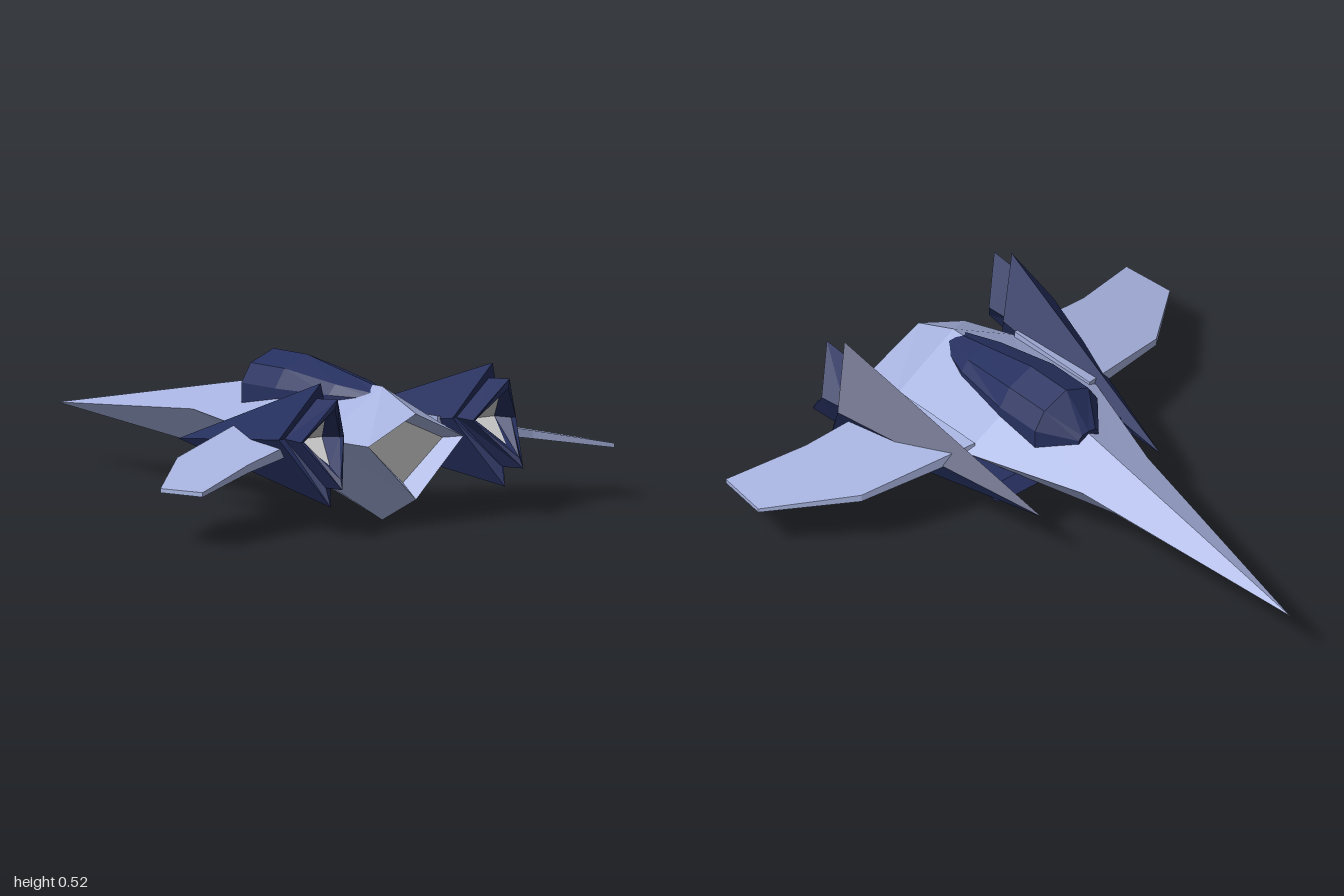
import * as THREE from 'three';

const material = (color) => new THREE.MeshStandardMaterial({ color, flatShading: true });

function fromPoints(points) {
  const geo = new THREE.BufferGeometry();
  geo.setAttribute('position', new THREE.Float32BufferAttribute(points.flat(), 3));
  geo.computeVertexNormals();
  return geo;
}

// Skin over rings of points; each ring runs counter-clockwise seen from +z
function loft(rings, capStart = false, capEnd = false) {
  const tris = [];
  for (let i = 0; i < rings.length - 1; i++) {
    const a = rings[i], b = rings[i + 1], n = a.length;
    for (let j = 0; j < n; j++) {
      const k = (j + 1) % n;
      tris.push(a[j], a[k], b[k], a[j], b[k], b[j]);
    }
  }
  const fan = (r, flip) => {
    for (let j = 1; j < r.length - 1; j++) tris.push(r[0], r[flip ? j + 1 : j], r[flip ? j : j + 1]);
  };
  if (capStart) fan(rings[0], true);
  if (capEnd) fan(rings[rings.length - 1], false);
  return fromPoints(tris);
}

// Four-cornered panel folded along its second and fourth corner
const panel = (r) => fromPoints([r[0], r[1], r[3], r[1], r[2], r[3]]);

// Copy to the other side of x = 0, keeping faces outward
function mirror(geo) {
  const g = geo.index ? geo.toNonIndexed() : geo;
  const p = g.attributes.position, out = [];
  for (let i = 0; i < p.count; i += 3)
    for (const k of [i, i + 2, i + 1]) out.push([-p.getX(k), p.getY(k), p.getZ(k)]);
  return fromPoints(out);
}

export function createModel() {
  const model = new THREE.Group();
  const hullMat = material(0xa6b2de), darkMat = material(0x26305f), greyMat = material(0xcccccc);

  const add = (name, geo, mat) => {
    const mesh = new THREE.Mesh(geo, mat);
    mesh.name = name;
    model.add(mesh);
  };
  // The nose points to -z, but sides are named for a front facing +z
  const addPair = (name, geo, mat) => {
    add('left' + name, geo, mat);
    add('right' + name, mirror(geo), mat);
  };

  // Hull: diamond sections [z, half width, top, side height, bottom]
  const diamond = ([z, w, top, side, bottom]) => [[0, top, z], [-w, side, z], [0, bottom, z], [w, side, z]];
  const exhaustPanel = diamond([0.84, 0.175, 0.355, 0.28, 0.14]);
  add('hull', loft([
    [-1, 0, 0.21, 0.21, 0.21],
    [-0.1, 0.15, 0.38, 0.302, 0.14],
    [0.33, 0.295, 0.46, 0.302, 0.115],
    [0.73, 0.27, 0.46, 0.302, 0],
    [0.91, 0.21, 0.385, 0.29, 0.09],
  ].map(diamond).concat([exhaustPanel])), hullMat);
  add('mainExhaust', panel(exhaustPanel), greyMat);

  // Canopy: [z, ridge y, shoulder x, shoulder y, side x, side y, base y]
  const canopyRing = ([z, top, sx, sy, w, wy, base]) => [
    [0, top, z], [-sx, sy, z], [-w, wy, z], [-w, base, z],
    [w, base, z], [w, wy, z], [sx, sy, z],
  ];
  add('canopy', loft([
    [0.035, 0.415, 0.03, 0.41, 0.045, 0.395, 0.36],
    [0.15, 0.525, 0.1, 0.485, 0.142, 0.42, 0.33],
    [0.33, 0.525, 0.1, 0.485, 0.142, 0.42, 0.33],
    [0.57, 0.48, 0.075, 0.455, 0.105, 0.42, 0.36],
    [0.74, 0.449, 0.03, 0.435, 0.045, 0.42, 0.38],
  ].map(canopyRing), true, true), darkMat);

  // Engine pods: long spike opening into a swept diamond, with a nested nozzle
  const tip = [0.27, 0.22, -0.03];
  const podPanel = [[0.385, 0.41, 0.89], [0.325, 0.325, 0.8], [0.39, 0.245, 0.92], [0.437, 0.325, 0.8]];
  addPair('EnginePod', loft([
    [tip, tip, tip, tip],
    [[0.38, 0.52, 0.86], [0.27, 0.33, 0.78], [0.385, 0.1, 0.92], [0.49, 0.325, 0.77]],
    [[0.38, 0.465, 0.84], [0.29, 0.33, 0.775], [0.39, 0.165, 0.9], [0.46, 0.325, 0.765]],
    [[0.38, 0.475, 0.95], [0.285, 0.33, 0.87], [0.4, 0.17, 1], [0.475, 0.325, 0.87]],
    [[0.383, 0.44, 0.94], [0.3, 0.33, 0.865], [0.395, 0.205, 0.985], [0.457, 0.325, 0.865]],
    podPanel,
  ]), darkMat);
  addPair('PodExhaust', panel(podPanel), greyMat);

  // Drooping wings: planform extruded, then heights set by span
  const planform = [[0.26, 0.325], [0.67, 0.445], [0.935, 0.675], [0.91, 0.87], [0.63, 0.775], [0.26, 0.71]];
  const wing = new THREE.ExtrudeGeometry(
    new THREE.Shape(planform.map(([x, z]) => new THREE.Vector2(x, -z))),
    { depth: 1, bevelEnabled: false });
  wing.rotateX(-Math.PI / 2);
  const p = wing.attributes.position;
  for (let i = 0; i < p.count; i++) {
    const x = p.getX(i);
    p.setY(i, p.getY(i) > 0.5 ? 0.31 - 0.21 * (x - 0.36) : 0.25 - 0.165 * (x - 0.48));
  }
  wing.computeVertexNormals();
  addPair('Wing', wing, hullMat);

  // Short pylons joining the lower hull to the pods
  const outline = [[0.13, 0.215], [0.18, 0.18], [0.36, 0.18], [0.43, 0.215], [0.36, 0.255], [0.18, 0.255]];
  const pylon = new THREE.ExtrudeGeometry(
    new THREE.Shape(outline.map(([z, y]) => new THREE.Vector2(-z, y))),
    { depth: 0.17, bevelEnabled: false });
  pylon.rotateY(Math.PI / 2);
  pylon.translate(0.12, 0, 0);
  addPair('Pylon', pylon, darkMat);

  return model;
}
